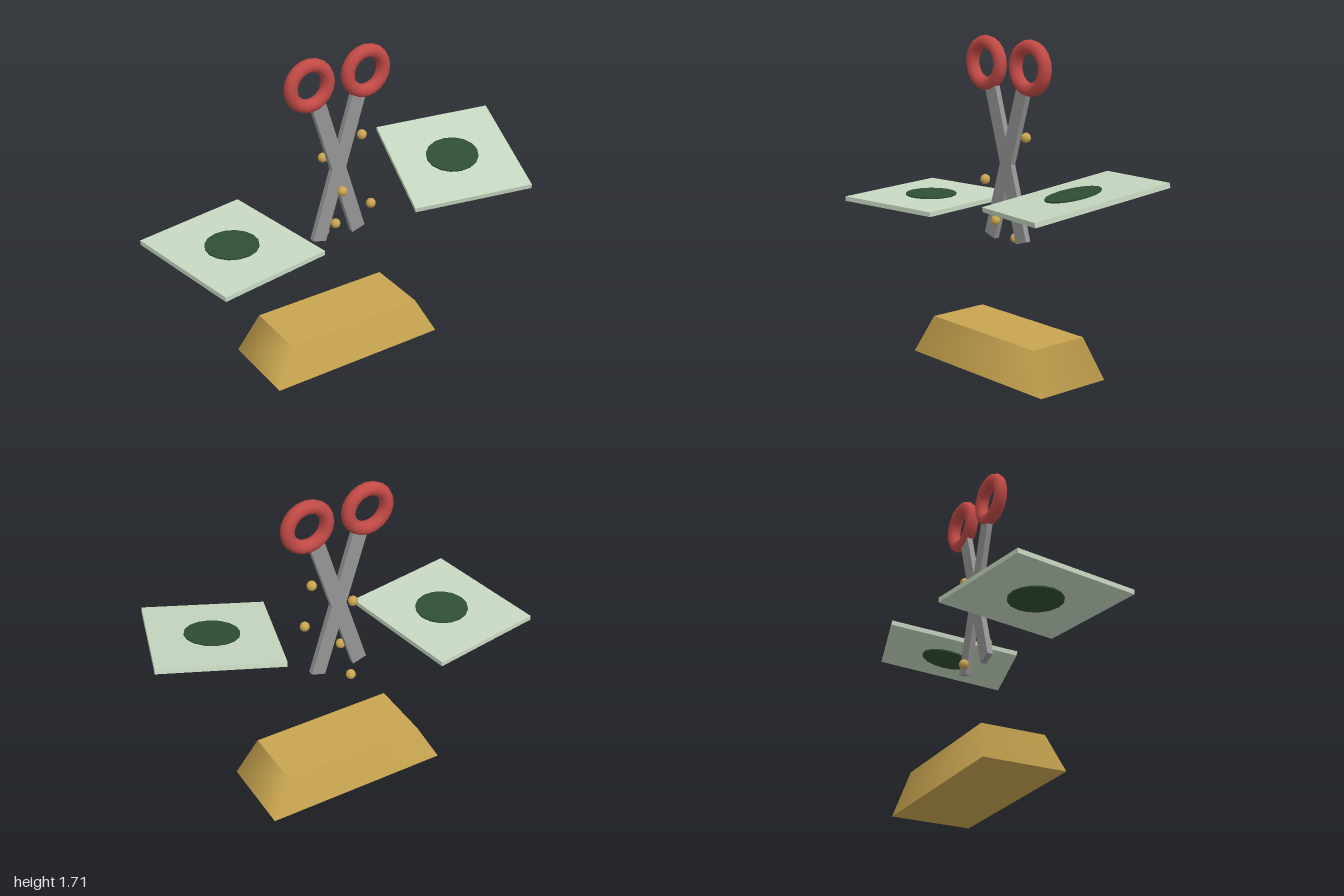
import * as THREE from 'three';

const mat = (color) => new THREE.MeshStandardMaterial({ color });

function add(parent, name, geometry, material, x = 0, y = 0, z = 0) {
  const mesh = new THREE.Mesh(geometry, material);
  mesh.name = name;
  mesh.position.set(x, y, z);
  parent.add(mesh);
  return mesh;
}

export function createModel() {
  const model = new THREE.Group();
  model.name = 'floatingScissorsAndNotes';

  const gold = mat(0xc9a550);
  const red = mat(0xc24a46);
  const steel = mat(0x959595);
  const paper = mat(0xc8d9c2);
  const green = mat(0x2f4f34);
  const yaw = 0.45;

  // Tapered gold bar: a four-sided cylinder stretched into a rectangle
  const barGeometry = new THREE.CylinderGeometry(0.78 * Math.SQRT1_2, Math.SQRT1_2, 0.21, 4)
    .rotateY(Math.PI / 4)
    .scale(1.005, 1, 0.436);
  add(model, 'goldBar', barGeometry, gold, 0.016, 0.105, -0.105).rotation.y = yaw;

  // Open scissors: two crossed blades, each with a ring handle
  const scissors = new THREE.Group();
  scissors.name = 'scissors';
  scissors.position.set(0.016, 1.07, -0.107);
  scissors.rotation.y = yaw;
  model.add(scissors);
  const bladeGeometry = new THREE.BoxGeometry(0.08, 0.82, 0.03);
  const ringGeometry = new THREE.TorusGeometry(0.107, 0.035, 10, 20);
  for (const [side, s] of [['left', 1], ['right', -1]]) {
    add(scissors, side + 'Blade', bladeGeometry, steel).rotation.z = -s * 0.3;
    add(scissors, side + 'Handle', ringGeometry, red, s * 0.165, 0.5, 0);
  }

  // Flat notes with a round seal showing on both faces
  const sheetGeometry = new THREE.BoxGeometry(0.622, 0.025, 0.692);
  const sealGeometry = new THREE.CylinderGeometry(0.138, 0.138, 0.04, 16);
  const notes = [
    ['rightNote', [-0.55, 0.802, 0.165], [0, 0.605, 0]],
    ['leftNote', [0.641, 1.012, -0.254], [0.188, 0.14, 0.061]],
  ];
  for (const [name, position, rotation] of notes) {
    const note = new THREE.Group();
    note.name = name;
    note.position.set(...position);
    note.rotation.set(...rotation);
    add(note, 'sheet', sheetGeometry, paper);
    add(note, 'seal', sealGeometry, green);
    model.add(note);
  }

  // Gold beads scattered around the blades
  const beadGeometry = new THREE.SphereGeometry(0.026, 12, 8);
  const beads = [
    [0.147, 1.222, -0.165], [-0.056, 1.11, -0.149], [0.024, 0.998, 0.012],
    [0.179, 0.887, -0.044], [-0.003, 0.775, -0.05], [-0.046, 0.664, -0.167],
  ];
  beads.forEach((p, i) => add(model, 'bead' + (i + 1), beadGeometry, gold, ...p));

  return model;
}
